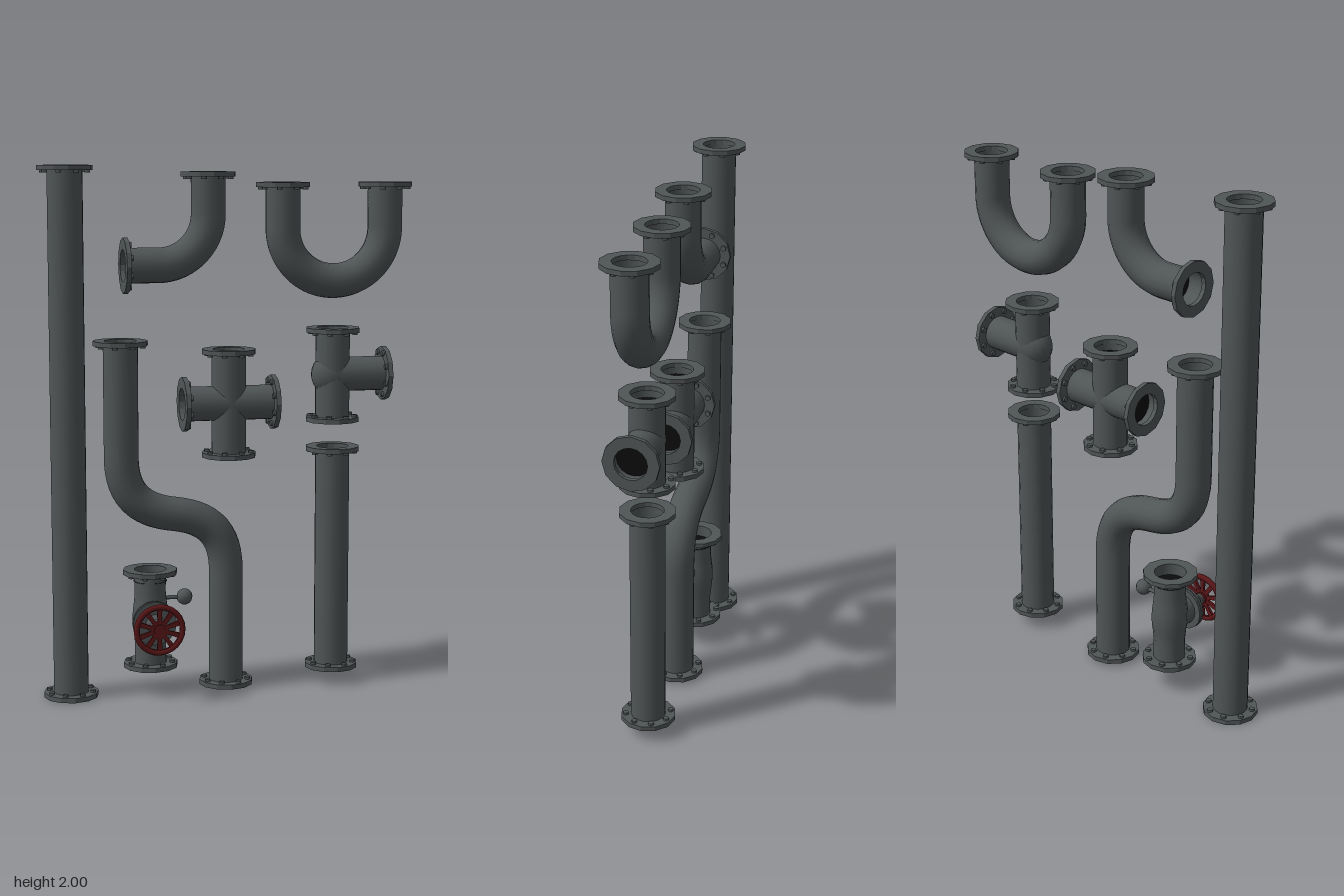
import * as THREE from 'three';

const X = 0.004, Z = -0.05, R = 0.066, FLANGE_R = 0.104, FLANGE_T = 0.018;
const V = (x, y, z = 0) => new THREE.Vector3(x, y, z);

export function createModel() {
  const iron = new THREE.MeshStandardMaterial({ color: 0x505556, side: THREE.DoubleSide });
  iron.name = 'grey iron';
  const red = new THREE.MeshStandardMaterial({ color: 0x5a1618 });
  red.name = 'dark red paint';
  const black = new THREE.MeshStandardMaterial({ color: 0x0c0c0c });
  black.name = 'black bore';

  const model = new THREE.Group();
  model.name = 'pipeSet';

  function add(parent, name, geometry, material = iron) {
    const mesh = new THREE.Mesh(geometry, material);
    mesh.name = name;
    parent.add(mesh);
    return mesh;
  }

  function piece(name) {
    const g = new THREE.Group();
    g.name = name;
    g.position.set(X, 0, Z);
    model.add(g);
    return g;
  }

  // Straight round part between two points
  function rod(parent, name, a, b, r0, r1 = r0, open = false, material = iron, sides = 16) {
    const dir = b.clone().sub(a);
    const mesh = add(parent, name, new THREE.CylinderGeometry(r1, r0, dir.length(), sides, 1, open), material);
    mesh.position.copy(a).add(b).multiplyScalar(0.5);
    mesh.quaternion.setFromUnitVectors(V(0, 1, 0), dir.normalize());
  }
  const pipe = (parent, a, b) => rod(parent, 'pipe', a, b, R, R, true);

  // Twelve-sided flange ring, bolt heads on its pipe side, black bore set back inside
  const ring = new THREE.Shape();
  for (let i = 0; i < 12; i++) {
    const a = i * Math.PI / 6, x = FLANGE_R * Math.cos(a), y = FLANGE_R * Math.sin(a);
    i ? ring.lineTo(x, y) : ring.moveTo(x, y);
  }
  ring.closePath();
  ring.holes.push(new THREE.Path().absarc(0, 0, 0.061, 0, Math.PI * 2, true));
  const ringGeo = new THREE.ExtrudeGeometry(ring, { depth: FLANGE_T, bevelEnabled: false, curveSegments: 8 });
  ringGeo.translate(0, 0, -FLANGE_T);
  const boltGeo = new THREE.CylinderGeometry(0.011, 0.011, 0.01, 6).rotateX(Math.PI / 2);
  const boreGeo = new THREE.CircleGeometry(0.065, 16);

  function flange(parent, pos, dir, boreDepth = 0.08) {
    const g = new THREE.Group();
    g.name = 'flange';
    add(g, 'flangeRing', ringGeo);
    add(g, 'bore', boreGeo, black).position.z = -boreDepth;
    for (let i = 0; i < 8; i++) {
      const a = (i + 0.5) * Math.PI / 4;
      add(g, 'bolt', boltGeo).position.set(0.085 * Math.cos(a), 0.085 * Math.sin(a), -FLANGE_T - 0.004);
    }
    g.position.copy(pos);
    g.quaternion.setFromUnitVectors(V(0, 0, 1), dir);
    parent.add(g);
  }
  const UP = V(0, 1), DOWN = V(0, -1), LEFT = V(1, 0), RIGHT = V(-1, 0);
  const SHALLOW = 0.045;

  // Bent pipe along a chain of curves
  function bentPipe(parent, curves) {
    const path = new THREE.CurvePath();
    curves.forEach(c => path.add(c));
    add(parent, 'bentPipe', new THREE.TubeGeometry(path, 64, R, 16));
  }
  const line = (a, b) => new THREE.LineCurve3(a, b);
  const bend = (a, b, c, d) => new THREE.CubicBezierCurve3(a, b, c, d);
  const K = 0.5523; // quarter-circle handle length

  // Straight pipes
  for (const [name, x, y0, y1] of [['longPipe', -0.616, 0, 2], ['shortPipe', 0.407, 0.055, 0.928]]) {
    const g = piece(name);
    pipe(g, V(x, y0 + 0.002), V(x, y1 - 0.002));
    flange(g, V(x, y1), UP);
    flange(g, V(x, y0), DOWN);
  }

  // Elbow
  const elbow = piece('elbowPipe');
  {
    const x = -0.08, y = 1.63, r = 0.19, k = r * (1 - K);
    bentPipe(elbow, [
      line(V(-0.4, y), V(x - r, y)),
      bend(V(x - r, y), V(x - k, y), V(x, y + k), V(x, y + r)),
      line(V(x, y + r), V(x, 1.972)),
    ]);
    flange(elbow, V(-0.404, y), RIGHT);
    flange(elbow, V(x, 1.975), UP);
  }

  // U bend
  const uBend = piece('uBendPipe');
  {
    const x0 = 0.207, x1 = 0.607, xm = 0.407, y = 1.763, b = 1.563, h = 0.2 * (1 - K);
    bentPipe(uBend, [
      line(V(x0, 1.932), V(x0, y)),
      bend(V(x0, y), V(x0, b + h), V(x0 + h, b), V(xm, b)),
      bend(V(xm, b), V(x1 - h, b), V(x1, b + h), V(x1, y)),
      line(V(x1, y), V(x1, 1.932)),
    ]);
    for (const x of [x0, x1]) flange(uBend, V(x, 1.935), UP);
  }

  // Offset S pipe
  const sPipe = piece('offsetPipe');
  {
    const x0 = -0.416, x1 = -0.014, mid = V(-0.215, 0.687);
    bentPipe(sPipe, [
      line(V(x0, 1.348), V(x0, 0.91)),
      bend(V(x0, 0.91), V(x0, 0.755), V(-0.331, 0.703), mid),
      bend(mid, V(-0.099, 0.671), V(x1, 0.62), V(x1, 0.464)),
      line(V(x1, 0.464), V(x1, 0.016)),
    ]);
    flange(sPipe, V(x0, 1.352), UP);
    flange(sPipe, V(x1, 0.013), DOWN);
  }

  // Four-way cross
  const cross = piece('crossPipe');
  {
    const x = -0.002, y = 1.106;
    pipe(cross, V(x, y - 0.202), V(x, y + 0.202));
    pipe(cross, V(x - 0.177, y), V(x + 0.177, y));
    flange(cross, V(x, y + 0.206), UP, SHALLOW);
    flange(cross, V(x, y - 0.206), DOWN, SHALLOW);
    flange(cross, V(x + 0.181, y), LEFT, SHALLOW);
    flange(cross, V(x - 0.181, y), RIGHT, SHALLOW);
  }

  // Three-way tee with a swelling opposite the branch
  const tee = piece('teePipe');
  {
    const x = 0.405, y = 1.205;
    pipe(tee, V(x, y - 0.177), V(x, y + 0.177));
    pipe(tee, V(x, y), V(x + 0.209, y));
    const swelling = add(tee, 'swelling', new THREE.SphereGeometry(1, 20, 14));
    swelling.scale.set(0.083, 0.085, 0.067);
    swelling.position.set(x, y, 0);
    flange(tee, V(x, y + 0.18), UP, SHALLOW);
    flange(tee, V(x, y - 0.18), DOWN, SHALLOW);
    flange(tee, V(x + 0.212, y), LEFT, SHALLOW);
  }

  // Valve: body, bonnet, stem, side knob and handwheel
  const valve = piece('valve');
  valve.position.set(-0.305, 0.288, Z);
  {
    const body = [[0.061, -0.187], [0.06, -0.1], [0.064, -0.06], [0.068, -0.03],
      [0.069, 0], [0.068, 0.03], [0.064, 0.06], [0.06, 0.1], [0.061, 0.187]];
    add(valve, 'valveBody', new THREE.LatheGeometry(body.map(p => new THREE.Vector2(...p)), 16));
    flange(valve, V(0, 0.19), UP, SHALLOW);
    flange(valve, V(0, -0.19), DOWN, SHALLOW);

    const along = (name, z0, z1, r0, r1) => rod(valve, name, V(0, 0, z0), V(0, 0, z1), r0, r1);
    along('neck', 0, 0.08, 0.06);
    along('bonnetPlate', 0.078, 0.087, 0.084);
    along('bonnetPlate', 0.091, 0.1, 0.084);
    along('bonnetGasket', 0.085, 0.093, 0.07);
    along('bonnetCone', 0.1, 0.122, 0.036, 0.018);
    along('stem', 0.12, 0.196, 0.012);
    along('stemCollar', 0.166, 0.176, 0.022);
    add(valve, 'packingBall', new THREE.SphereGeometry(0.027, 12, 10)).position.z = 0.143;

    rod(valve, 'knobRod', V(0.02, 0.075), V(0.12, 0.075), 0.008, 0.008, false, iron, 8);
    add(valve, 'sideKnob', new THREE.SphereGeometry(0.031, 12, 8)).position.set(0.133, 0.075, 0);

    // Handwheel: rim, hub and a web pierced by ten wedge-shaped slots
    const wheel = new THREE.Group();
    wheel.name = 'handwheel';
    wheel.position.z = 0.194;
    valve.add(wheel);
    add(wheel, 'wheelRim', new THREE.TorusGeometry(0.087, 0.011, 8, 24), red);
    rod(wheel, 'wheelHub', V(0, 0, -0.014), V(0, 0, 0.009), 0.026, 0.022, false, red, 12);
    const web = new THREE.Shape().absarc(0, 0, 0.085, 0, Math.PI * 2);
    for (let i = 0; i < 10; i++) {
      const slot = new THREE.Path();
      [[0.034, -0.1], [0.077, -0.19], [0.077, 0.19], [0.034, 0.1]].forEach(([r, da], j) => {
        const a = i * Math.PI / 5 + da;
        slot[j ? 'lineTo' : 'moveTo'](r * Math.cos(a), r * Math.sin(a));
      });
      slot.closePath();
      web.holes.push(slot);
    }
    const webGeo = new THREE.ExtrudeGeometry(web, { depth: 0.01, bevelEnabled: false, curveSegments: 24 });
    add(wheel, 'wheelSpokes', webGeo, red).position.z = -0.006;
  }

  return model;
}
